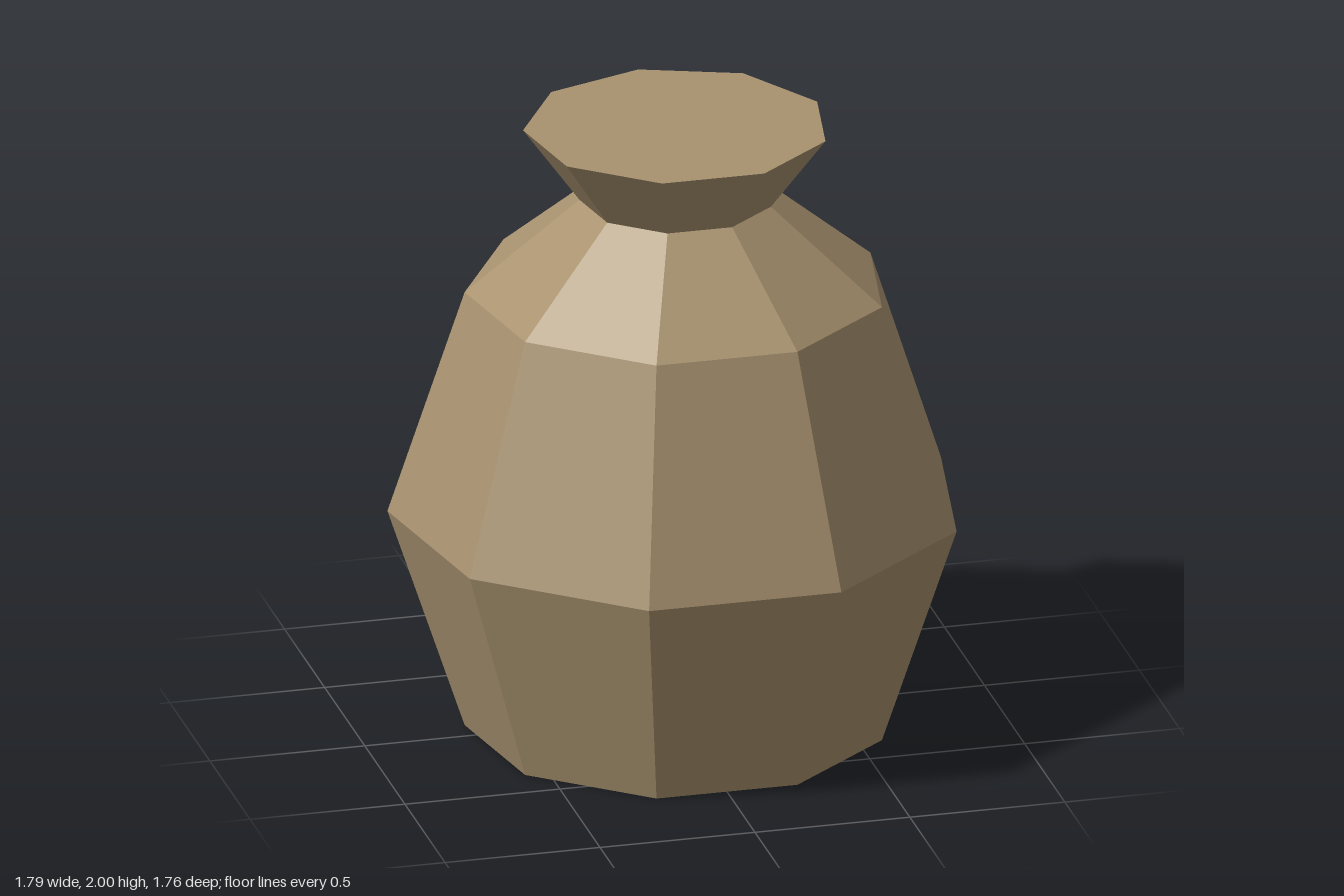
import * as THREE from 'three';

const SIDES = 9;
const CENTER_Z = 0.027; // a nine-sided outline is uneven front to back

export function createModel() {
  const group = new THREE.Group();
  group.name = 'pot';
  const clay = new THREE.MeshStandardMaterial({ color: 0xa8926f });
  clay.name = 'clay';

  const add = (name, geometry, y = 0) => {
    const mesh = new THREE.Mesh(geometry, clay);
    mesh.name = name;
    mesh.position.set(0, y, CENTER_Z);
    group.add(mesh);
  };

  // Faceted wall turned from [radius, height] points, with one corner at the back
  const wall = (points) => {
    const profile = points.map(([r, y]) => new THREE.Vector2(r, y));
    const geometry = new THREE.LatheGeometry(profile, SIDES, Math.PI).toNonIndexed();
    geometry.computeVertexNormals();
    return geometry;
  };

  // Flat nine-sided disc facing up (1) or down (-1)
  const disc = (radius, facing) =>
    new THREE.CircleGeometry(radius, SIDES, facing * Math.PI / 2).rotateX(-facing * Math.PI / 2);

  add('body', wall([[0.665, 0], [0.907, 0.73], [0.665, 1.46]]));
  add('shoulder', wall([[0.665, 1.46], [0.305, 1.76]]));
  add('flaredNeck', wall([[0.305, 1.76], [0.482, 2]]));
  add('lid', disc(0.482, 1), 2);
  add('base', disc(0.665, -1), 0);

  return group;
}
